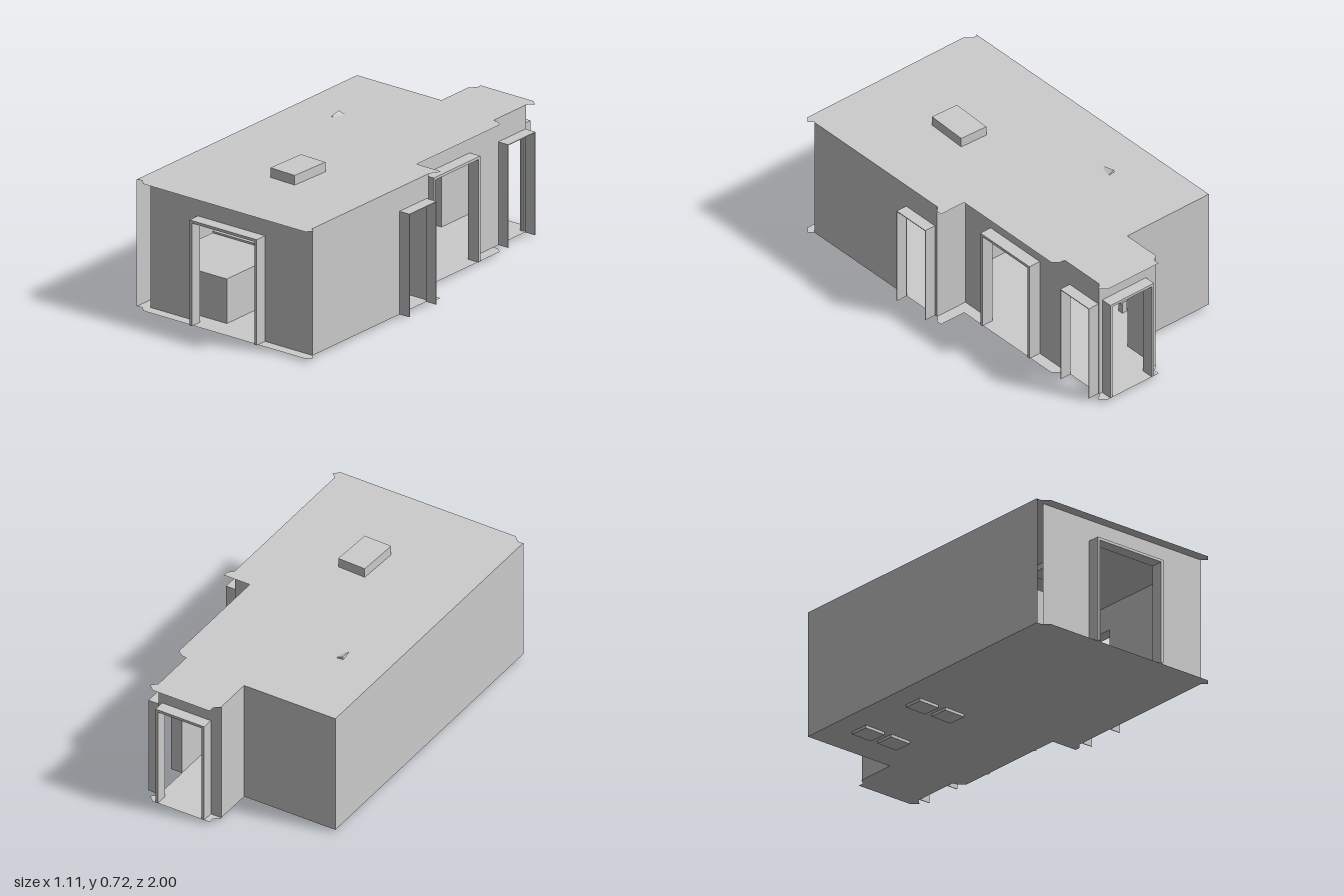
import * as THREE from 'three';

const FLOOR = 0.015, ROOF = 0.67;

export function createModel() {
  const model = new THREE.Group();
  const mat = new THREE.MeshStandardMaterial({ color: 0xcccccc, flatShading: true, side: THREE.DoubleSide });

  const add = (name, geometry, parent = model) => {
    const mesh = new THREE.Mesh(geometry, mat);
    mesh.name = name;
    parent.add(mesh);
    return mesh;
  };
  // Box given by its limits on each axis
  const box = (name, x0, x1, y0, y1, z0, z1, parent = model) => {
    const mesh = add(name, new THREE.BoxGeometry(x1 - x0, y1 - y0, z1 - z0), parent);
    mesh.position.set((x0 + x1) / 2, (y0 + y1) / 2, (z0 + z1) / 2);
    return mesh;
  };

  // Floor and roof sheets share one outline, with tabs under the door frames
  const outline = [
    [-0.01, -1], [0.31, -1], [0.345, -0.97], [0.315, -0.94], [0.315, -0.69], [0.345, -0.685],
    [0.375, -0.66], [0.375, -0.02], [0.52, -0.02], [0.52, 0.01], [0.495, 0.035], [0.495, 0.94],
    [0.52, 0.96], [0.495, 0.99], [-0.495, 0.99], [-0.525, 0.96], [-0.555, 0.96],
    [-0.555, -0.735], [-0.04, -0.735], [-0.04, -0.945], [-0.01, -0.97],
  ];
  const plan = new THREE.Shape(outline.map(([x, z]) => new THREE.Vector2(x, -z)));
  for (const [name, y] of [['floor', FLOOR], ['roof', ROOF]]) {
    add(name, new THREE.ShapeGeometry(plan).rotateX(-Math.PI / 2)).position.y = y;
  }

  // Thin wall along x or z, with doorways [start, end, top] cut from the floor up
  const wall = (name, axis, at, a0, a1, doors = []) => {
    const pts = [[a0, FLOOR]];
    for (const [d0, d1, top] of doors) pts.push([d0, FLOOR], [d0, top], [d1, top], [d1, FLOOR]);
    pts.push([a1, FLOOR], [a1, ROOF], [a0, ROOF]);
    const geometry = new THREE.ShapeGeometry(new THREE.Shape(pts.map((p) => new THREE.Vector2(...p))));
    if (axis === 'z') geometry.rotateY(-Math.PI / 2);
    const mesh = add(name, geometry);
    mesh.position[axis === 'z' ? 'x' : 'z'] = at;
  };
  wall('rightWall', 'z', -0.555, -0.735, 0.965);
  wall('frontWall', 'x', 0.935, -0.495, 0.495, [[-0.195, 0.195, 0.55]]);
  wall('leftFrontWall', 'z', 0.495, 0.04, 0.935, [[0.06, 0.26, 0.545]]);
  wall('stepWall', 'x', 0.04, 0.315, 0.495);
  wall('leftBackWall', 'z', 0.315, -0.94, 0.04, [[-0.93, -0.73, 0.545], [-0.495, -0.155, 0.55]]);
  wall('annexBackWall', 'x', -0.94, -0.04, 0.315, [[0.03, 0.285, 0.55]]);
  wall('annexSideWall', 'z', -0.04, -0.94, -0.735);
  wall('backWall', 'x', -0.735, -0.555, -0.04);

  // Door frame: two jambs and a lintel, d0..d1 deep across the wall
  const frame = (name, axis, d0, d1, a0, a1, top, t) => {
    const group = new THREE.Group();
    group.name = name;
    const piece = (n, p0, p1, y0, y1) => (axis === 'x'
      ? box(n, p0, p1, y0, y1, d0, d1, group)
      : box(n, d0, d1, y0, y1, p0, p1, group));
    piece('jamb', a0, a0 + t, FLOOR, top);
    piece('jamb', a1 - t, a1, FLOOR, top);
    piece('lintel', a0 + t, a1 - t, top - t, top);
    model.add(group);
  };
  frame('frontDoorFrame', 'x', 0.935, 1, -0.205, 0.205, 0.56, 0.014);
  frame('backDoorFrame', 'x', -1, -0.935, 0.02, 0.295, 0.565, 0.014);
  frame('leftFrontFrame', 'z', 0.495, 0.555, 0.055, 0.265, 0.547, 0.004);
  frame('leftMiddleFrame', 'z', 0.315, 0.38, -0.505, -0.145, 0.56, 0.014);
  frame('leftBackFrame', 'z', 0.315, 0.375, -0.935, -0.725, 0.547, 0.004);

  // Box standing out of the roof
  box('roofBox', -0.065, 0.088, 0.64, 0.72, 0.325, 0.55).rotation.y = -0.04;

  // Tilted box hanging through the roof
  const hanging = box('hangingBox', -0.33, -0.15, 0.385, 0.655, -0.335, -0.275);
  hanging.rotation.set(0.15, 0.1, -0.35);
  hanging.position.set(-0.285, 0.523, -0.3);

  // Low furniture in the front half of the room
  box('frontCabinet', -0.5, -0.08, FLOOR, 0.245, 0.45, 0.87);
  box('middleCabinet', -0.5, -0.01, FLOOR, 0.255, 0.22, 0.45);
  box('sideCabinet', -0.5, -0.2, FLOOR, 0.25, 0.14, 0.22);
  box('bench', -0.5, -0.2, FLOOR, 0.135, 0.06, 0.14);

  // Table with two chairs on either side, their bases just under the floor
  box('tableTop', -0.45, -0.13, 0.195, 0.215, -0.42, -0.19);
  box('tablePedestal', -0.33, -0.25, FLOOR, 0.195, -0.34, -0.27);
  for (const x of [-0.37, -0.21]) {
    for (const side of [1, -1]) {
      const chair = new THREE.Group();
      chair.name = 'chair';
      box('base', -0.06, 0.06, 0, 0.014, -0.05, 0.05, chair);
      box('seat', -0.06, 0.06, 0.11, 0.13, -0.06, 0.05, chair);
      box('post', -0.015, 0.015, 0.014, 0.11, -0.015, 0.015, chair);
      box('backrest', -0.06, 0.06, 0.13, 0.285, 0.035, 0.055, chair);
      chair.position.set(x, 0, -0.305 + side * 0.2);
      chair.rotation.y = side > 0 ? 0.03 : Math.PI + 0.03;
      model.add(chair);
    }
  }
  return model;
}
